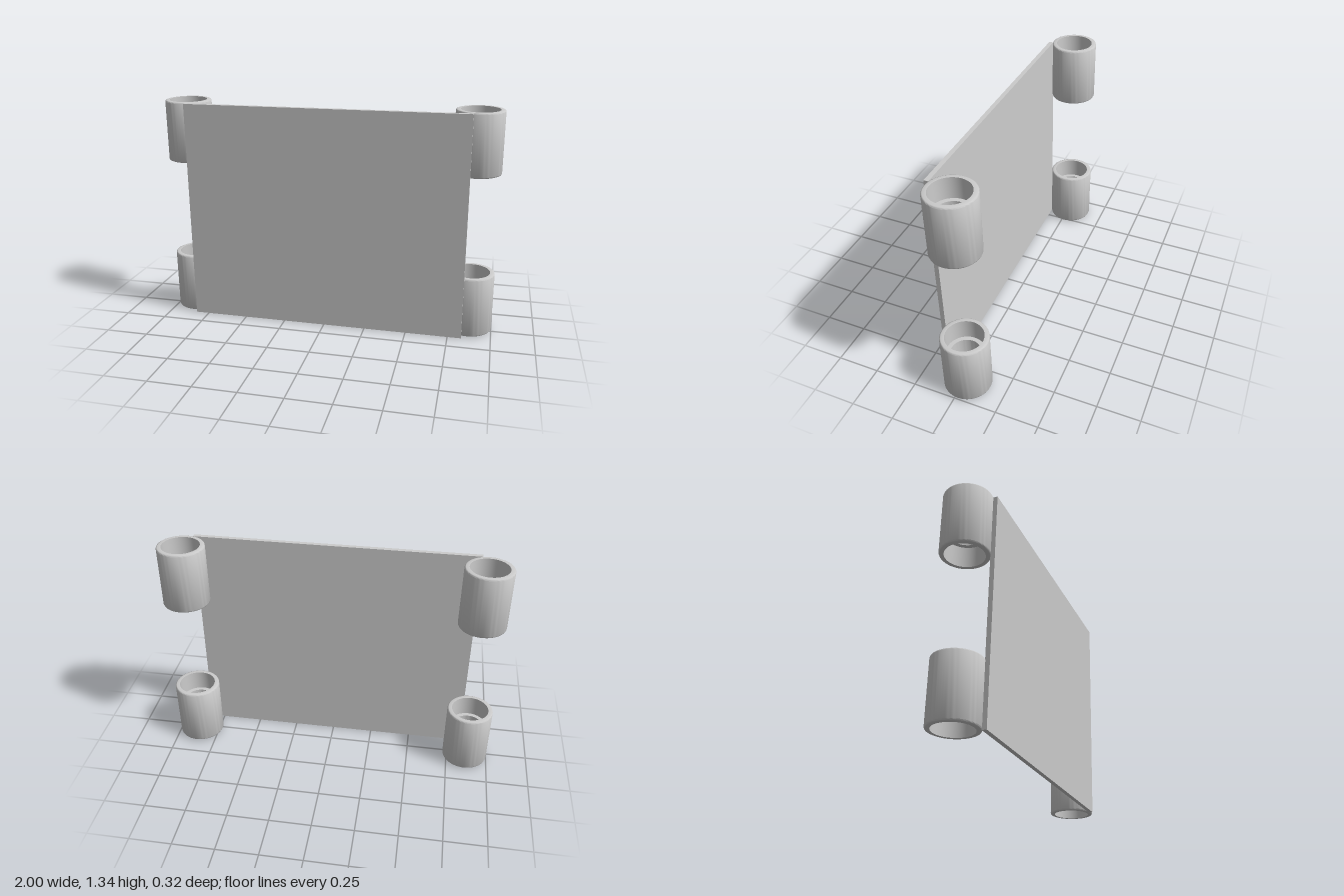
import * as THREE from 'three';
import { toCreasedNormals } from 'three/addons/utils/BufferGeometryUtils.js';

const material = new THREE.MeshStandardMaterial({ color: 0xcccccc });

// Hollow sleeve with softened rims and a narrower collar inside the bore
function sleeveGeometry() {
  const outer = 0.137, bore = 0.11, collar = 0.085, h = 0.182, c = 0.008;
  const profile = [
    [bore, -h], [outer - c, -h], [outer - c * 0.3, -h + c * 0.3], [outer, -h + c],
    [outer, h - c], [outer - c * 0.3, h - c * 0.3], [outer - c, h], [bore, h],
    [bore, 0.06], [collar, 0.06], [collar, -0.06], [bore, -0.06], [bore, -h],
  ].map(([r, y]) => new THREE.Vector2(r, y));
  return toCreasedNormals(new THREE.LatheGeometry(profile, 64), 0.9);
}

export function createModel() {
  const model = new THREE.Group();
  model.name = 'plateWithSleeves';

  // Everything leans slightly forward
  const body = new THREE.Group();
  body.name = 'tiltedBody';
  body.rotation.x = 0.0226;
  body.position.y = 0.003;
  model.add(body);

  // Flat front plate
  const plate = new THREE.Mesh(new THREE.BoxGeometry(1.66, 1.33, 0.026), material);
  plate.name = 'plate';
  plate.position.set(0, 0.665, 0.122);
  body.add(plate);

  // Four corner sleeves behind the plate
  const geometry = sleeveGeometry();
  for (const [side, x] of [['left', 0.863], ['right', -0.863]]) {
    for (const [level, y] of [['Lower', 0.185], ['Upper', 1.15]]) {
      const sleeve = new THREE.Mesh(geometry, material);
      sleeve.name = `${side}${level}Sleeve`;
      sleeve.position.set(x, y, -0.0225);
      body.add(sleeve);
    }
  }
  return model;
}
